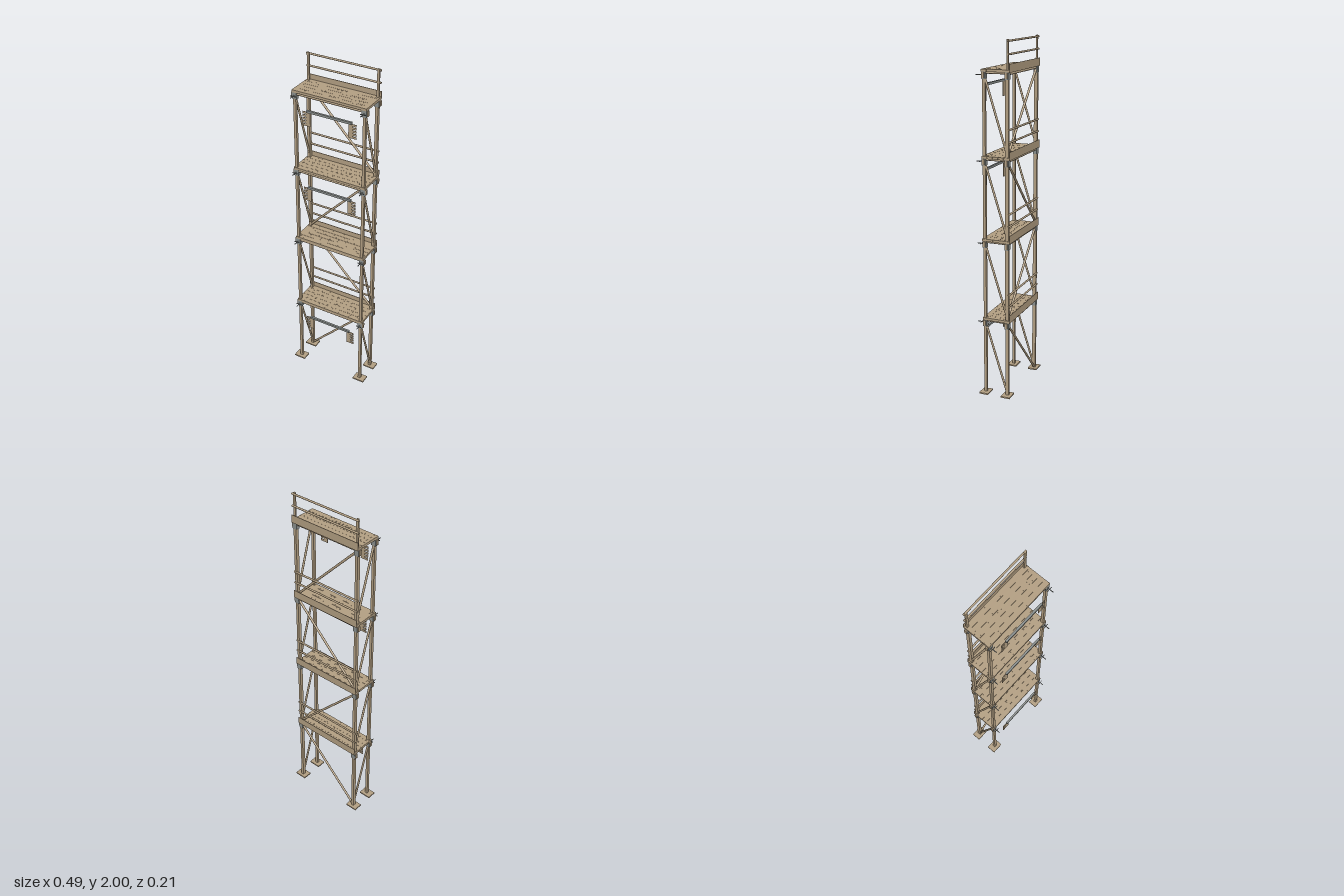
import * as THREE from 'three';
import { mergeGeometries } from 'three/addons/utils/BufferGeometryUtils.js';

const TAN = new THREE.MeshStandardMaterial({ color: 0xb5a184 });
TAN.name = 'weathered tan';
const GREY = new THREE.MeshStandardMaterial({ color: 0x8d9290 });
GREY.name = 'steel grey';

const POST_X = 0.207, FRONT_Z = 0.055, BACK_Z = -0.078;
const LEVELS = [0.455, 0.916, 1.377, 1.84];

function add(parent, name, geometry, material, x = 0, y = 0, z = 0) {
  const mesh = new THREE.Mesh(geometry, material);
  mesh.name = name;
  mesh.position.set(x, y, z);
  parent.add(mesh);
  return mesh;
}

function box(parent, name, size, pos, material = TAN) {
  return add(parent, name, new THREE.BoxGeometry(...size), material, ...pos);
}

// Round tube running between two points
function tube(parent, name, a, b, r, material = TAN) {
  const from = new THREE.Vector3(...a), to = new THREE.Vector3(...b);
  const dir = to.clone().sub(from);
  const mesh = add(parent, name, new THREE.CylinderGeometry(r, r, dir.length(), 12), material);
  mesh.position.copy(from).add(to).multiplyScalar(0.5);
  mesh.quaternion.setFromUnitVectors(new THREE.Vector3(0, 1, 0), dir.normalize());
  return mesh;
}

// Plank with very low anti-slip studs on both faces
function plankGeometry(width, length, thickness) {
  const parts = [new THREE.BoxGeometry(length, thickness, width)];
  for (let i = 0; i < 18; i++) {
    for (const side of [-1, 1]) {
      const stud = new THREE.CylinderGeometry(0.0016, 0.0016, thickness + 0.001, 6);
      stud.translate((i - 8.5) * 0.0235, 0, side * width * 0.25);
      parts.push(stud);
    }
  }
  return mergeGeometries(parts);
}

// Thin comb plate, teeth pointing to +x
function combGeometry() {
  const s = new THREE.Shape();
  s.moveTo(0, 0);
  for (let i = 0; i < 5; i++) {
    const y = i * 0.0175;
    s.lineTo(0.047, y);
    s.lineTo(0.047, y + 0.012);
    s.lineTo(0.025, y + 0.012);
    if (i < 4) s.lineTo(0.025, y + 0.0175);
  }
  s.lineTo(0, 0.082);
  return new THREE.ExtrudeGeometry(s, { depth: 0.003, bevelEnabled: false });
}

export function createModel() {
  const model = new THREE.Group();
  model.name = 'scaffoldTower';

  // Uprights and base plates
  for (const sx of [-1, 1]) {
    for (const z of [FRONT_Z, BACK_Z]) {
      const depth = z === BACK_Z ? 0.02 : 0.016;
      box(model, 'basePlate', [0.072, 0.008, 0.054], [sx * 0.209, 0.004, z]);
      box(model, 'upright', [0.016, 1.83, depth], [sx * POST_X, 0.921, z]);
    }
    box(model, 'guardPost', [0.013, 0.2, 0.009], [sx * POST_X, 1.9, -0.081]);
  }

  const pitch = 0.032;
  const plank = plankGeometry(pitch - 0.0008, 0.442, 0.014);
  const comb = combGeometry();

  LEVELS.forEach((y, level) => {
    const bay = new THREE.Group();
    bay.name = 'bay' + (level + 1);
    model.add(bay);

    // Deck of five planks
    for (let i = 0; i < 5; i++) add(bay, 'deckPlank', plank, TAN, 0, y - 0.002, -0.0765 + i * pitch);

    // Toe board and guard rails along the back
    box(bay, 'toeBoard', [0.442, 0.045, 0.003], [0, y + 0.0125, -0.0935]);
    for (const h of [0.084, 0.152]) {
      tube(bay, 'guardRail', [-0.22, y + h, -0.086], [0.22, y + h, -0.086], 0.0055);
    }

    // Ledgers under the deck
    for (const z of [FRONT_Z, BACK_Z]) {
      tube(bay, 'ledger', [-POST_X, y - 0.018, z], [POST_X, y - 0.018, z], 0.0075);
    }

    // Back diagonal, alternating direction in each bay
    const low = level ? LEVELS[level - 1] + 0.015 : 0.012;
    const s = level % 2 ? -1 : 1;
    tube(bay, 'backBrace', [-s * 0.202, low, BACK_Z], [s * 0.202, y - 0.025, BACK_Z], 0.0065);

    for (const sx of [-1, 1]) {
      const x = sx * POST_X;
      tube(bay, 'transom', [x, y - 0.014, FRONT_Z], [x, y - 0.014, BACK_Z], 0.006);
      tube(bay, 'sideBrace', [x, low, BACK_Z], [x, y - 0.025, FRONT_Z], 0.006);

      // Couplers around the uprights
      for (const z of [FRONT_Z, BACK_Z]) {
        box(bay, 'coupler', [0.028, 0.038, 0.022], [x, y - 0.027, z], GREY);
        box(bay, 'couplerLug', [0.009, 0.03, 0.014], [sx * 0.223, y - 0.025, z]);
      }
      // Bolt and crosspiece in front
      tube(bay, 'couplerBolt', [x, y - 0.026, 0.06], [x, y - 0.026, 0.102], 0.0025, GREY);
      box(bay, 'boltCrosspiece', [0.032, 0.004, 0.003], [x, y - 0.026, 0.078], GREY);
    }

    // Hanging bar with comb plates, missing in the second bay
    if (level !== 1) {
      const top = y - 0.086;
      box(bay, 'hangingBar', [0.267, 0.013, 0.012], [0.0135, top, 0.084], GREY);
      add(bay, 'rightComb', comb, TAN, 0.126, top - 0.088, 0.0785);
      const left = add(bay, 'leftComb', comb, TAN, -0.101, top - 0.088, 0.0815);
      left.rotation.y = Math.PI;
    }
  });

  return model;
}
